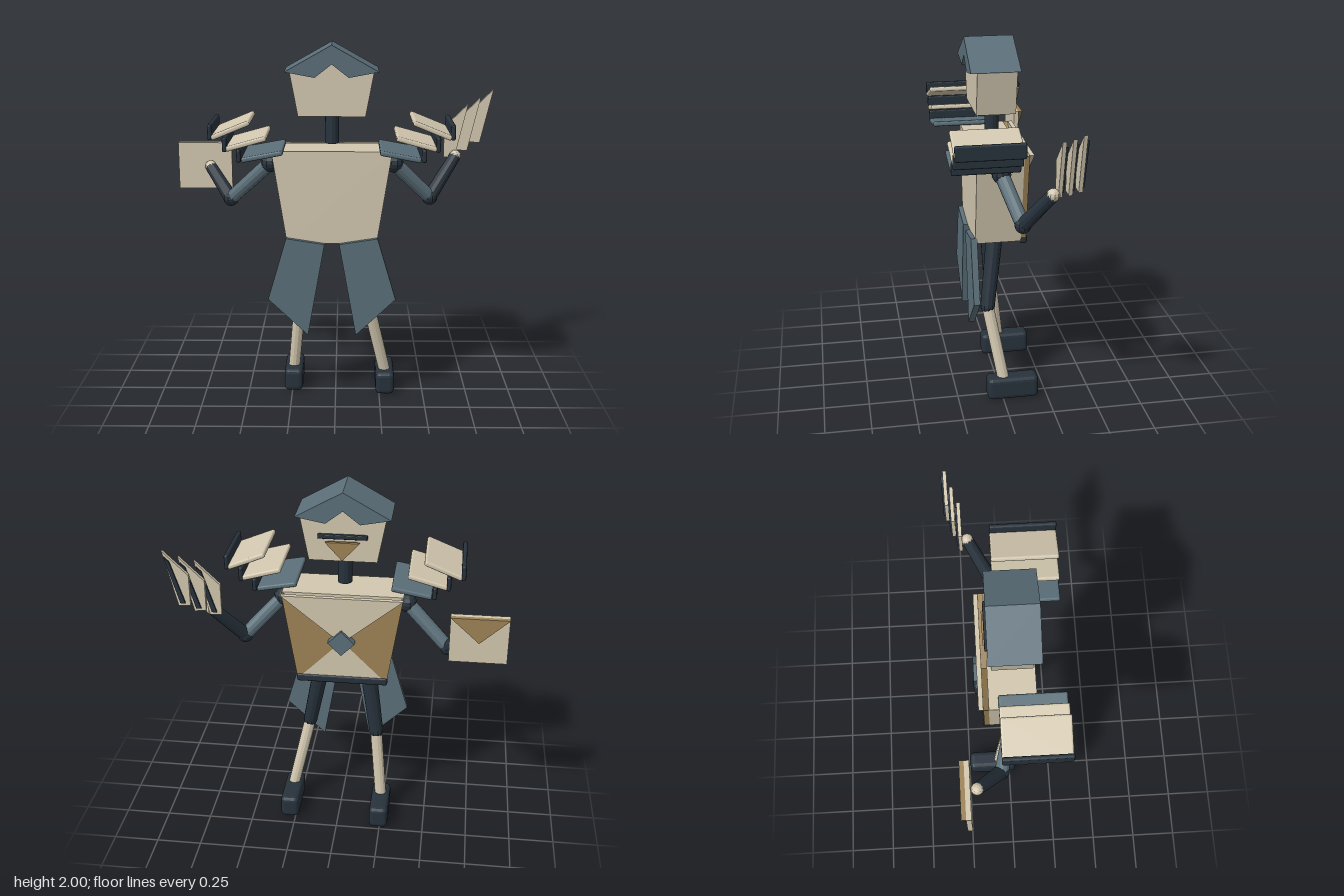
import * as THREE from 'three';
import { RoundedBoxGeometry } from 'three/addons/geometries/RoundedBoxGeometry.js';

const paint = (color) => new THREE.MeshStandardMaterial({ color, flatShading: true });
const CREAM = paint(0xd3c8b0), BLUE = paint(0x5b6f79), DARK = paint(0x27323c), TAN = paint(0x9d8356);
const MID = -0.02; // x of the body's plane of symmetry

export function createModel() {
  const root = new THREE.Group();

  const add = (name, geometry, material, parent = root) => {
    const mesh = new THREE.Mesh(geometry, material);
    mesh.name = name;
    parent.add(mesh);
    return mesh;
  };
  const group = (name) => {
    const g = new THREE.Group();
    g.name = name;
    root.add(g);
    return g;
  };
  // flat outline in x, y extruded from z0 to z1
  const slab = (name, points, z0, z1, material, parent) => {
    const shape = new THREE.Shape(points.map(([x, y]) => new THREE.Vector2(x, y)));
    const geo = new THREE.ExtrudeGeometry(shape, { depth: z1 - z0, bevelEnabled: false });
    return add(name, geo.translate(0, 0, z0), material, parent);
  };
  // chamfered box between two corners
  const block = (name, a, b, bevel, material, parent) => {
    const geo = new RoundedBoxGeometry(b[0] - a[0], b[1] - a[1], b[2] - a[2], 2, bevel);
    geo.translate((a[0] + b[0]) / 2, (a[1] + b[1]) / 2, (a[2] + b[2]) / 2);
    return add(name, geo, material, parent);
  };
  // round bar between two points
  const limb = (name, from, to, r0, r1, material, parent) => {
    const a = new THREE.Vector3(...from), b = new THREE.Vector3(...to);
    const dir = b.clone().sub(a);
    const mesh = add(name, new THREE.CylinderGeometry(r1, r0, dir.length(), 12), material, parent);
    mesh.position.copy(a).add(b).multiplyScalar(0.5);
    mesh.quaternion.setFromUnitVectors(new THREE.Vector3(0, 1, 0), dir.normalize());
    return mesh;
  };
  const ball = (name, at, r, material, parent) =>
    add(name, new THREE.SphereGeometry(r, 10, 8), material, parent).position.set(...at);

  // head, hair and face
  slab('head', [[-0.2, 1.62], [0.16, 1.62], [0.205, 1.86], [MID, 1.97], [-0.245, 1.86]], -0.09, 0.12, CREAM);
  slab('hair', [[-0.27, 1.86], [-0.11, 1.83], [MID, 1.9], [0.07, 1.83], [0.23, 1.86], [MID, 2]], -0.105, 0.157, BLUE);
  block('visor', [-0.15, 1.75, -0.117], [0.11, 1.775, -0.095], 0.006, DARK);
  slab('mask', [[-0.11, 1.735], [MID, 1.635], [0.07, 1.735]], -0.125, -0.108, TAN);
  slab('maskMount', [[-0.1, 1.73], [MID, 1.645], [0.06, 1.73]], -0.11, -0.088, TAN);
  limb('neck', [MID, 1.46, 0.01], [MID, 1.63, 0.01], 0.039, 0.039, DARK);

  // torso with a folded panel on its -z side
  const TL = [-0.345, 1.435], TR = [0.305, 1.435], BL = [-0.265, 0.925], BR = [0.225, 0.925], C = [MID, 1.17];
  slab('torso', [BL, BR, TR, TL], -0.11, 0.14, CREAM);
  slab('sidePanel', [TL, BL, C], -0.138, -0.11, TAN);
  slab('sidePanel', [TR, C, BR], -0.138, -0.11, TAN);
  slab('lowerPanel', [BL, BR, C], -0.138, -0.11, CREAM);
  slab('upperFlap', [TL, C, TR], -0.163, -0.138, CREAM);
  slab('clasp', [[MID, 1.105], [0.053, 1.178], [MID, 1.25], [-0.093, 1.178]], -0.183, -0.138, BLUE);
  block('belt', [-0.27, 0.91, -0.145], [0.23, 0.955, -0.105], 0.012, DARK);

  for (const s of [-1, 1]) {
    const X = (u) => MID + s * u;

    // coat tail
    slab('coatTail', [[X(0.25), 0.958], [X(0.04), 0.925], [X(0.133), 0.4], [X(0.352), 0.61]], 0.13, 0.165, BLUE);

    // stacked shoulder plates, each with an upright outer rim
    const pad = group('shoulderPad');
    const plates = [
      [0.255, 1.456, 0.47, 1.416, 0.485, 1.405, 1.475, BLUE],
      [0.34, 1.532, 0.55, 1.474, 0.557, 1.46, 1.54, CREAM],
      [0.425, 1.615, 0.625, 1.533, 0.632, 1.523, 1.605, CREAM],
    ];
    for (const [u0, y0, u1, y1, ur, r0, r1, material] of plates) {
      const len = Math.hypot(u1 - u0, y1 - y0);
      const plate = add('plate', new RoundedBoxGeometry(len, 0.027, 0.355, 2, 0.01), material, pad);
      plate.position.set(X((u0 + u1) / 2), (y0 + y1) / 2, 0.118);
      plate.rotation.z = s * Math.atan2(y1 - y0, u1 - u0);
      block('plateRim', [X(ur) - 0.012, r0, -0.06], [X(ur) + 0.012, r1, 0.296], 0.009, DARK, pad);
    }
  }

  // arms: shoulder, elbow, hand
  const arms = [
    ['rightArm', [-0.36, 1.348, 0.015], [-0.588, 1.13, -0.06], [-0.713, 1.285, -0.19]],
    ['leftArm', [0.32, 1.348, 0.015], [0.525, 1.14, -0.06], [0.673, 1.35, -0.18]],
  ];
  for (const [name, shoulder, elbow, hand] of arms) {
    const arm = group(name);
    ball('shoulder', shoulder, 0.052, DARK, arm);
    limb('upperArm', shoulder, elbow, 0.04, 0.038, BLUE, arm);
    ball('elbow', elbow, 0.044, DARK, arm);
    limb('forearm', elbow, hand, 0.039, 0.033, DARK, arm);
    ball('hand', hand, 0.034, CREAM, arm);
  }

  // legs: hip, knee, ankle, z range of the shoe
  const legs = [
    ['rightLeg', [-0.15, 0.93, 0.015], [-0.205, 0.53, -0.01], [-0.242, 0.12, -0.06], -0.243, 0.04],
    ['leftLeg', [0.11, 0.93, 0.015], [0.19, 0.53, 0.068], [0.283, 0.12, -0.005], -0.2, 0.087],
  ];
  for (const [name, hip, knee, ankle, z0, z1] of legs) {
    const leg = group(name);
    limb('thigh', hip, knee, 0.046, 0.04, DARK, leg);
    ball('knee', knee, 0.041, DARK, leg);
    limb('shin', knee, ankle, 0.034, 0.033, CREAM, leg);
    block('shoe', [ankle[0] - 0.053, 0.005, z0], [ankle[0] + 0.053, 0.135, z1], 0.026, DARK, leg);
  }

  // envelope by the right hand
  const envelope = group('envelope');
  slab('envelopeBody', [[-0.9, 1.15], [-0.595, 1.15], [-0.595, 1.415], [-0.9, 1.415]], -0.25, -0.223, CREAM, envelope);
  slab('envelopeFlap', [[-0.9, 1.415], [-0.748, 1.275], [-0.595, 1.415]], -0.275, -0.25, TAN, envelope);

  // fan of pointed cards by the left hand, each with a dark stripe
  const fan = group('cardFan');
  const back = [-0.225, -0.258, -0.288];
  for (let i = 0; i < 3; i++) {
    const dx = 0.074 * i, dy = [0, 0.034, 0.075][i];
    const move = ([x, y]) => [x + dx, y + dy];
    slab('card', [[0.61, 1.34], [0.672, 1.335], [0.742, 1.64], [0.61, 1.51]].map(move), back[i], back[i] + 0.02, CREAM, fan);
    slab('cardStripe', [[0.634, 1.355], [0.66, 1.355], [0.73, 1.61], [0.704, 1.585]].map(move), back[i] - 0.011, back[i], DARK, fan);
  }

  return root;
}
